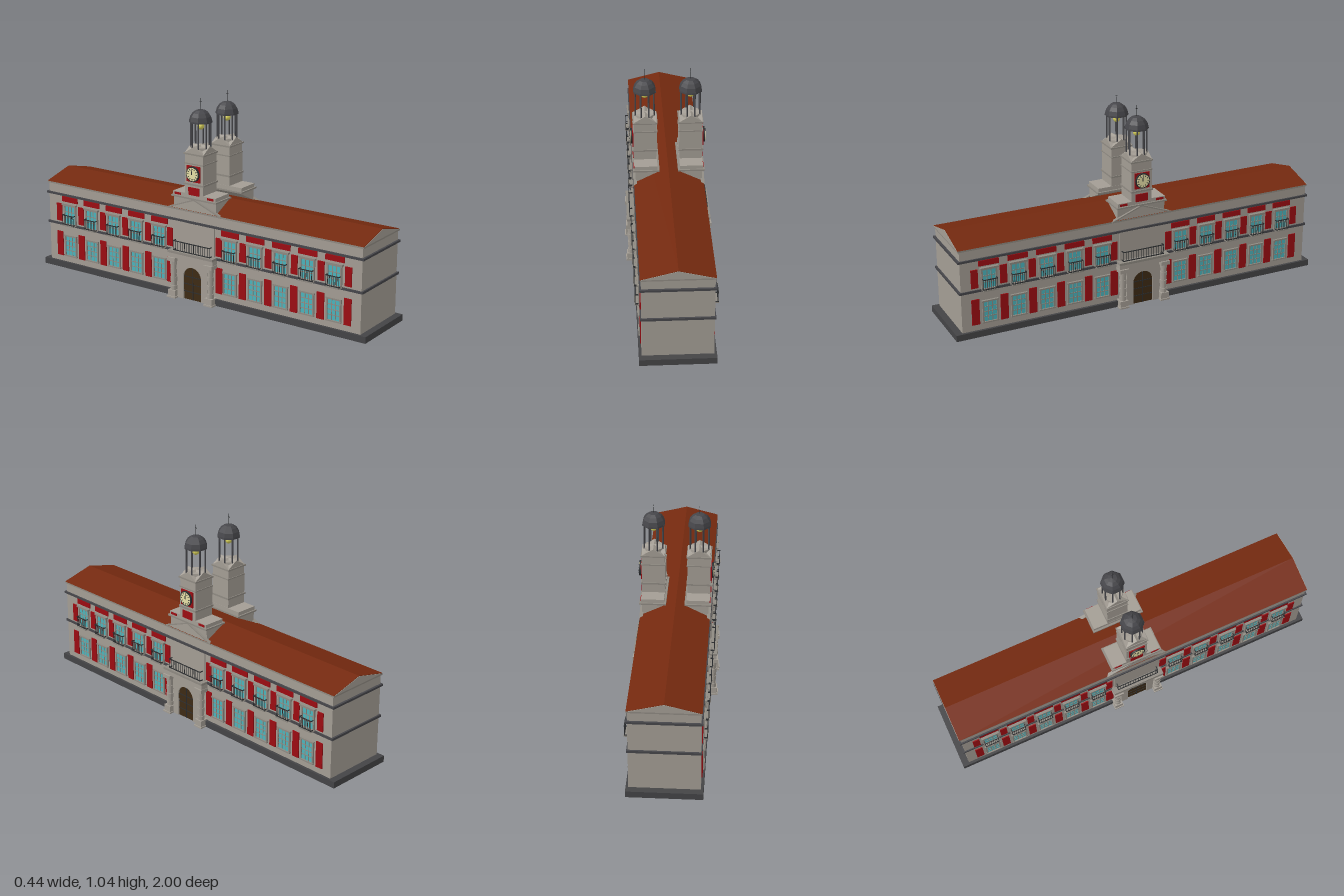
import * as THREE from 'three';

const mat = (color) => new THREE.MeshStandardMaterial({ color, flatShading: true, side: THREE.DoubleSide });
const M = {
  wall: mat(0xa39d94), trim: mat(0x8f8a82), dark: mat(0x46464a), plinth: mat(0x444446), roof: mat(0x74290f),
  red: mat(0x9c0c12), glass: mat(0x4cb4bc), iron: mat(0x2c2e30), wood: mat(0x3d2a14),
  gold: mat(0xd6cf5a), face: mat(0xe6dfa6),
};

function add(parent, name, geo, m, x = 0, y = 0, z = 0) {
  const mesh = new THREE.Mesh(geo, m);
  mesh.name = name;
  mesh.position.set(x, y, z);
  parent.add(mesh);
  return mesh;
}

// Box given by its extents on each axis
function box(parent, name, m, x0, x1, y0, y1, z0, z1) {
  return add(parent, name, new THREE.BoxGeometry(x1 - x0, y1 - y0, z1 - z0), m,
    (x0 + x1) / 2, (y0 + y1) / 2, (z0 + z1) / 2);
}

// Profile of [x, y] points extruded along z
function prism(parent, name, m, pts, z0, z1) {
  const shape = new THREE.Shape(pts.map((p) => new THREE.Vector2(p[0], p[1])));
  return add(parent, name, new THREE.ExtrudeGeometry(shape, { depth: z1 - z0, bevelEnabled: false }), m, 0, 0, z0);
}

// Shape drawn in (z, y), extruded outward along x
function facing(parent, name, m, shape, x0, x1) {
  const geo = new THREE.ExtrudeGeometry(shape, { depth: x1 - x0, bevelEnabled: false, curveSegments: 10 });
  const mesh = add(parent, name, geo, m, x0, 0, 0);
  mesh.rotation.y = Math.PI / 2;
  return mesh;
}

function group(parent, name, z = 0) {
  const g = new THREE.Group();
  g.name = name;
  g.position.z = z;
  parent.add(g);
  return g;
}

function arch(w, spring) {
  const s = new THREE.Shape();
  s.moveTo(-w, 0);
  s.lineTo(w, 0);
  s.lineTo(w, spring);
  s.absarc(0, spring, w, 0, Math.PI, false);
  s.lineTo(-w, 0);
  return s;
}

// Iron railing with end returns to the wall
function railing(parent, half, x, y, h, n) {
  const g = group(parent, 'railing');
  for (const yy of [y, y + h - 0.004]) {
    box(g, 'rail', M.iron, x - 0.004, x, yy, yy + 0.004, -half, half);
    for (const s of [-half, half]) box(g, 'sideRail', M.iron, 0.17, x, yy, yy + 0.004, s - 0.002, s + 0.002);
  }
  for (let i = 0; i <= n; i++) {
    const z = -half + (2 * half * i) / n;
    box(g, 'baluster', M.iron, x - 0.003, x - 0.001, y, y + h, z - 0.001, z + 0.001);
  }
}

function windowUnit(parent, z, y0, y1, rows) {
  const g = group(parent, 'window', z), w = 0.033;
  box(g, 'glass', M.glass, 0.165, 0.174, y0, y1, -w, w);
  for (const s of [-1, 1]) box(g, 'jamb', M.trim, 0.165, 0.179, y0, y1, s * (w + 0.004) - 0.004, s * (w + 0.004) + 0.004);
  box(g, 'lintel', M.trim, 0.165, 0.181, y1, y1 + 0.008, -w - 0.01, w + 0.01);
  box(g, 'sill', M.trim, 0.165, 0.181, y0 - 0.007, y0, -w - 0.01, w + 0.01);
  for (const s of [-0.33, 0.33]) box(g, 'mullion', M.trim, 0.17, 0.176, y0, y1, s * w - 0.002, s * w + 0.002);
  for (let i = 1; i < rows; i++) {
    const y = y0 + ((y1 - y0) * i) / rows;
    box(g, 'glazingBar', M.trim, 0.17, 0.176, y - 0.002, y + 0.002, -w, w);
  }
  return g;
}

function entrance(f) {
  const g = group(f, 'entrance');
  // Stone surround with an arched opening
  const wall = new THREE.Shape();
  [[-0.092, 0], [-0.092, 0.22], [0.092, 0.22], [0.092, 0]].forEach((p, i) => (i ? wall.lineTo(...p) : wall.moveTo(...p)));
  wall.lineTo(0.055, 0);
  wall.lineTo(0.055, 0.12);
  wall.absarc(0, 0.12, 0.055, 0, Math.PI, false);
  wall.lineTo(-0.055, 0);
  facing(g, 'archWall', M.wall, wall, 0.165, 0.192);
  facing(g, 'door', M.wood, arch(0.055, 0.12), 0.165, 0.185);
  box(g, 'doorSeam', M.iron, 0.184, 0.187, 0, 0.17, -0.002, 0.002);
  for (const y of [0.04, 0.08, 0.12]) box(g, 'doorRail', M.iron, 0.184, 0.187, y, y + 0.004, -0.054, 0.054);
  // Banded columns on pedestals
  for (const s of [-1, 1]) {
    const z = s * 0.115;
    box(g, 'pedestalFoot', M.wall, 0.165, 0.22, 0, 0.008, z - 0.026, z + 0.026);
    box(g, 'pedestal', M.wall, 0.165, 0.215, 0.008, 0.04, z - 0.022, z + 0.022);
    for (let i = 0; i < 7; i++) {
      const r = i % 2 ? 0.0155 : 0.018;
      add(g, 'columnDrum', new THREE.CylinderGeometry(r, r, 0.0225, 14), M.wall, 0.193, 0.051 + i * 0.0225, z);
    }
    box(g, 'capital', M.wall, 0.165, 0.218, 0.196, 0.216, z - 0.025, z + 0.025);
  }
  box(g, 'entablature', M.wall, 0.165, 0.21, 0.216, 0.247, -0.138, 0.138);
  box(g, 'balconySlab', M.trim, 0.165, 0.213, 0.24, 0.252, -0.14, 0.14);
  railing(g, 0.112, 0.2, 0.252, 0.052, 16);
  box(g, 'upperPanel', M.wall, 0.165, 0.178, 0.25, 0.405, -0.125, 0.125);
}

function facade(f) {
  for (const s of [-1, 1]) {
    for (let i = 0; i < 5; i++) {
      const z = s * (0.219 + 0.15 * i);
      windowUnit(f, z, 0.075, 0.18, 4).name = 'lowerWindow';
      const up = windowUnit(f, z, 0.252, 0.35, 3);
      up.name = 'upperWindow';
      box(up, 'hood', M.trim, 0.165, 0.187, 0.355, 0.364, -0.047, 0.047);
      box(up, 'redLintelPanel', M.red, 0.165, 0.176, 0.372, 0.4, -0.052, 0.052);
      box(up, 'balconySlab', M.trim, 0.165, 0.198, 0.243, 0.25, -0.038, 0.038);
      railing(up, 0.036, 0.196, 0.25, 0.055, 7);
    }
    // Red panels between the bays
    for (let i = 0; i < 6; i++) {
      const z = s * (i ? 0.144 + 0.15 * i : 0.152);
      box(f, 'lowerRedPanel', M.red, 0.165, 0.175, 0.065, 0.2, z - 0.02, z + 0.02);
      box(f, 'upperRedPanel', M.red, 0.165, 0.175, 0.26, 0.357, z - 0.018, z + 0.018);
    }
  }
  entrance(f);
}

function tower(f) {
  const t = group(f, 'clockTower'), cx = 0.114;
  // Pediment and wedge-shaped footing that rises over the roof
  const gable = new THREE.Shape([[-0.16, 0.465], [0.16, 0.465], [0, 0.527]].map((p) => new THREE.Vector2(...p)));
  facing(t, 'pediment', M.wall, gable, 0.16, 0.173);
  for (const s of [-1, 1]) {
    const edge = new THREE.Shape([[s * 0.165, 0.463], [s * 0.165, 0.469], [0, 0.532], [0, 0.525]].map((p) => new THREE.Vector2(...p)));
    facing(t, 'pedimentEdge', M.trim, edge, 0.16, 0.178);
  }
  prism(t, 'footing', M.wall, [[0.165, 0.47], [0.168, 0.53], [0.047, 0.53]], -0.13, 0.13);
  box(t, 'footingSlab', M.trim, 0.046, 0.18, 0.53, 0.538, -0.138, 0.138);
  box(t, 'footingStep', M.wall, 0.056, 0.172, 0.538, 0.557, -0.13, 0.13);
  for (const s of [-1, 1]) box(t, 'stepRedPanel', M.red, 0.165, 0.175, 0.542, 0.553, s * 0.1 - 0.02, s * 0.1 + 0.02);
  // Shaft
  box(t, 'lowerShaft', M.wall, 0.057, 0.172, 0.557, 0.603, -0.056, 0.056);
  box(t, 'shaftRedPanel', M.red, 0.165, 0.176, 0.552, 0.592, -0.033, 0.033);
  box(t, 'shaftLedge', M.trim, 0.052, 0.177, 0.603, 0.612, -0.06, 0.06);
  box(t, 'clockShaft', M.wall, 0.056, 0.172, 0.612, 0.71, -0.056, 0.056);
  box(t, 'shaftBand', M.trim, 0.053, 0.175, 0.71, 0.716, -0.058, 0.058);
  box(t, 'upperShaft', M.wall, 0.058, 0.17, 0.716, 0.758, -0.055, 0.055);
  box(t, 'shaftCornice', M.trim, 0.052, 0.176, 0.758, 0.766, -0.061, 0.061);
  // Clock
  box(t, 'clockPanel', M.red, 0.165, 0.178, 0.622, 0.704, -0.041, 0.041);
  const disc = (name, r, h, m, x) => { add(t, name, new THREE.CylinderGeometry(r, r, h, 24), m, x, 0.664, 0).rotation.z = Math.PI / 2; };
  disc('clockRim', 0.039, 0.01, M.iron, 0.182);
  disc('clockFace', 0.034, 0.003, M.face, 0.187);
  for (let i = 0; i < 12; i++) {
    const a = (i * Math.PI) / 6;
    const tick = add(t, 'hourMark', new THREE.BoxGeometry(0.002, 0.008, 0.003), M.iron, 0.189, 0.664 + 0.027 * Math.cos(a), 0.027 * Math.sin(a));
    tick.rotation.x = a;
  }
  box(t, 'minuteHand', M.iron, 0.189, 0.19, 0.662, 0.688, -0.0015, 0.0015);
  box(t, 'hourHand', M.iron, 0.189, 0.19, 0.662, 0.68, 0.001, 0.004);
  // Crossed gables on top of the shaft
  const h = 0.057;
  prism(t, 'gableRoof', M.wall, [[cx - h, 0.766], [cx + h, 0.766], [cx, 0.802]], -h, h);
  facing(t, 'crossGableRoof', M.wall, new THREE.Shape([[-h, 0.766], [h, 0.766], [0, 0.802]].map((p) => new THREE.Vector2(...p))), cx - h, cx + h);
  add(t, 'lanternBase', new THREE.CylinderGeometry(0.052, 0.055, 0.026, 8), M.wall, cx, 0.781, 0).rotation.y = Math.PI / 8;
  // Open belfry
  for (let i = 0; i < 8; i++) {
    const a = ((i + 0.5) * Math.PI) / 4;
    add(t, 'belfryPost', new THREE.CylinderGeometry(0.0042, 0.0042, 0.138, 6), M.dark, cx + 0.05 * Math.cos(a), 0.857, 0.05 * Math.sin(a));
  }
  add(t, 'bell', new THREE.SphereGeometry(0.018, 12, 8), M.gold, cx, 0.897, 0);
  const profile = [[0.06, 0.918], [0.059, 0.926], [0.053, 0.947], [0.041, 0.965], [0.024, 0.977], [0, 0.981]];
  const dome = new THREE.LatheGeometry(profile.map((p) => new THREE.Vector2(...p)), 8);
  add(t, 'dome', dome, M.dark, cx, 0, 0).rotation.y = Math.PI / 8;
  add(t, 'domeFloor', new THREE.CylinderGeometry(0.06, 0.06, 0.004, 8), M.dark, cx, 0.919, 0).rotation.y = Math.PI / 8;
  add(t, 'spire', new THREE.CylinderGeometry(0.0006, 0.0014, 0.058, 5), M.iron, cx, 1.008, 0);
  box(t, 'spireCross', M.iron, cx - 0.001, cx + 0.001, 1.018, 1.02, -0.006, 0.006);
}

export function createModel() {
  const model = new THREE.Group();
  model.name = 'townHall';
  // Main block
  box(model, 'plinth', M.plinth, -0.183, 0.183, 0, 0.033, -1, 1);
  box(model, 'walls', M.wall, -0.17, 0.17, 0.033, 0.462, -0.965, 0.965);
  for (const [y0, y1, o] of [[0.238, 0.25, 0.006], [0.403, 0.414, 0.008], [0.461, 0.47, 0.004]]) {
    box(model, 'stringCourse', y0 > 0.45 ? M.trim : M.dark, -0.17 - o, 0.17 + o, y0, y1, -0.968 - o, 0.968 + o);
  }
  // Gabled roof with stone ends
  prism(model, 'roof', M.roof, [[-0.175, 0.47], [0.175, 0.47], [0, 0.515]], -0.972, 0.972);
  for (const s of [-1, 1]) {
    prism(model, 'gableEnd', M.wall, [[-0.17, 0.47], [0.17, 0.47], [0, 0.513]], s * 0.972 - 0.002, s * 0.972 + 0.002);
  }
  // The same facade and tower on both long sides
  for (const side of ['left', 'right']) {
    const f = group(model, side + 'Side');
    if (side === 'right') f.rotation.y = Math.PI;
    facade(f);
    tower(f);
  }
  return model;
}
